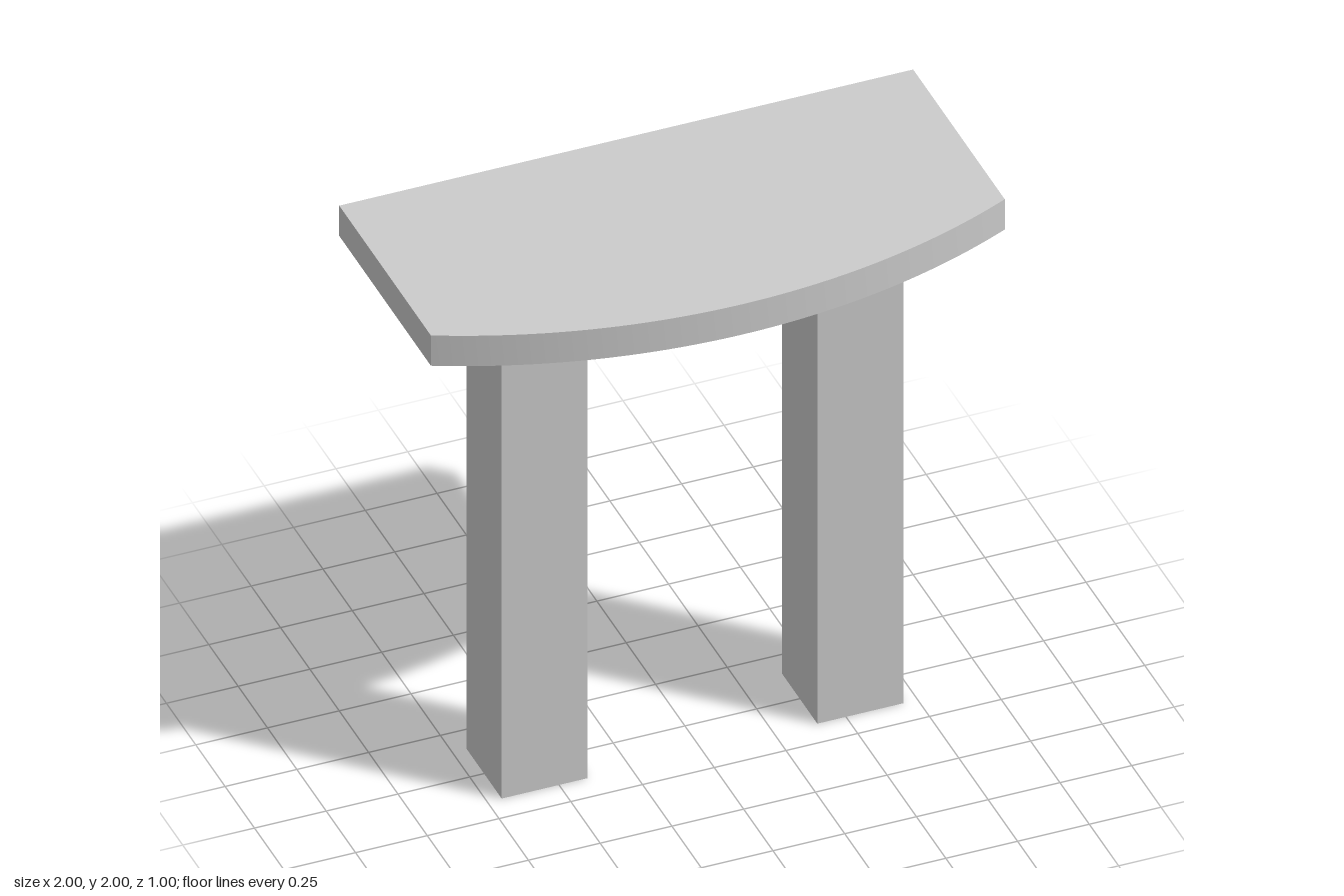
import * as THREE from 'three';
import { toCreasedNormals } from 'three/addons/utils/BufferGeometryUtils.js';

const HEIGHT = 2, THICKNESS = 0.12;

// Slab with a straight back, straight sides and a bowed front edge
function topGeometry() {
  const corner = 0.28, front = 0.5, rise = front - corner;
  const radius = (1 + rise * rise) / (2 * rise);
  const half = Math.asin(1 / radius);
  const outline = new THREE.Shape();
  outline.moveTo(-1, -0.5);
  outline.lineTo(1, -0.5);
  outline.lineTo(1, corner);
  outline.absarc(0, front - radius, radius, Math.PI / 2 - half, Math.PI / 2 + half, false);
  outline.closePath();
  const geometry = new THREE.ExtrudeGeometry(outline, {
    depth: THICKNESS, bevelEnabled: false, curveSegments: 32,
  });
  geometry.rotateX(Math.PI / 2).translate(0, HEIGHT, 0);
  return toCreasedNormals(geometry, Math.PI / 9);
}

export function createModel() {
  const group = new THREE.Group();
  group.name = 'table';
  const material = new THREE.MeshStandardMaterial({ color: 0xcccccc });

  const top = new THREE.Mesh(topGeometry(), material);
  top.name = 'tableTop';
  group.add(top);

  // Two square posts under the slab
  const legHeight = HEIGHT - THICKNESS;
  const legGeometry = new THREE.BoxGeometry(0.3, legHeight, 0.3);
  for (const [name, side] of [['leftLeg', 1], ['rightLeg', -1]]) {
    const leg = new THREE.Mesh(legGeometry, material);
    leg.name = name;
    leg.position.set(side * 0.55, legHeight / 2, 0);
    group.add(leg);
  }
  return group;
}
